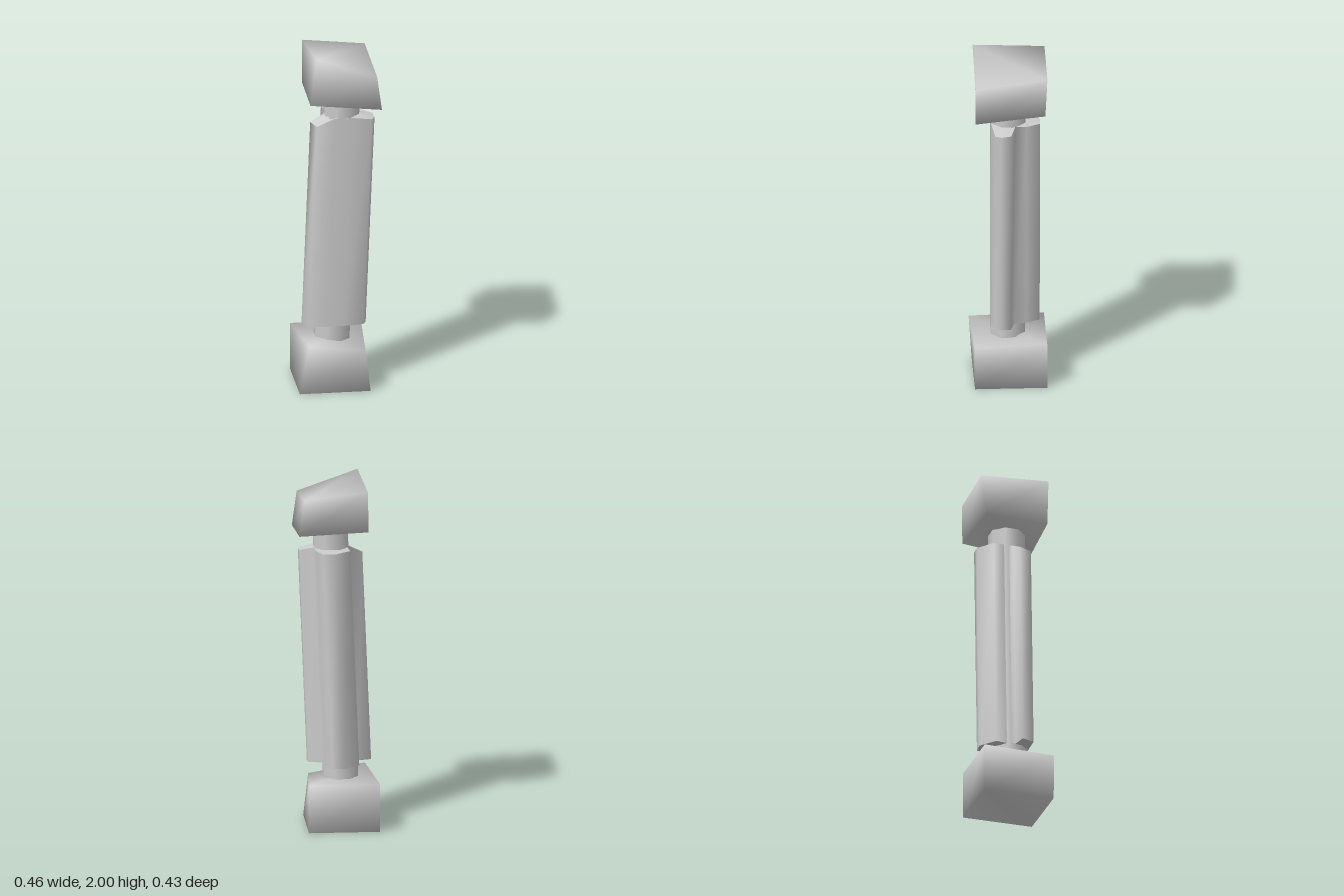
import * as THREE from 'three';
import { mergeVertices } from 'three/addons/utils/BufferGeometryUtils.js';

const stone = new THREE.MeshStandardMaterial({ color: 0xcccccc });

// Horizontal centre of the leaning column at height y
const leanX = (y) => -0.023 + (y - 0.36) * 0.041;

function addPart(group, name, geometry) {
  const mesh = new THREE.Mesh(geometry, stone);
  mesh.name = name;
  group.add(mesh);
}

// Rough stone block: a box whose corners are moved, softly shaded across its edges.
// Corners run front left, front right, back right, back left as [x, y, z].
function block(bottom, top) {
  const box = new THREE.BoxGeometry(1, 1, 1);
  box.deleteAttribute('normal');
  box.deleteAttribute('uv');
  const geometry = mergeVertices(box);
  const p = geometry.attributes.position;
  for (let i = 0; i < p.count; i++) {
    const right = p.getX(i) > 0;
    const k = p.getZ(i) > 0 ? (right ? 1 : 0) : (right ? 2 : 3);
    p.setXYZ(i, ...(p.getY(i) > 0 ? top : bottom)[k]);
  }
  geometry.computeVertexNormals();
  return geometry;
}

// Join closed rings of points from bottom to top
function loft(rings) {
  const n = rings[0].length;
  const index = [];
  for (let r = 0; r < rings.length - 1; r++) {
    for (let i = 0; i < n; i++) {
      const a = r * n + i, b = r * n + (i + 1) % n;
      index.push(a, b, b + n, a, b + n, a + n);
    }
  }
  const geometry = new THREE.BufferGeometry();
  geometry.setAttribute('position', new THREE.Float32BufferAttribute(rings.flat(2), 3));
  geometry.setIndex(index);
  geometry.computeVertexNormals();
  return geometry;
}

export function createModel() {
  const group = new THREE.Group();
  group.name = 'stoneColumn';

  addPart(group, 'base', block(
    [[-0.232, 0, 0.192], [0.168, 0, 0.192], [0.168, 0, -0.213], [-0.232, 0, -0.213]],
    [[-0.18, 0.29, 0.212], [0.14, 0.24, 0.192], [0.168, 0.272, -0.213], [-0.232, 0.275, -0.213]]));

  addPart(group, 'capital', block(
    [[-0.17, 1.72, 0.175], [0.232, 1.682, 0.192], [0.22, 1.718, -0.2], [-0.17, 1.73, -0.18]],
    [[-0.137, 2, 0.192], [0.205, 1.88, 0.192], [0.19, 1.93, -0.213], [-0.163, 1.97, -0.213]]));

  // Eight-sided core with a flat front, sheared to follow the lean
  const core = new THREE.CylinderGeometry(0.104, 0.104, 1.55, 8, 1, true, Math.PI / 8).translate(0, 1, 0);
  const p = core.attributes.position;
  for (let i = 0; i < p.count; i++) p.setX(i, p.getX(i) + leanX(p.getY(i)));
  addPart(group, 'core', core);

  // Three wings around the core, which lies bare between them: [x, z, height of the upper rim]
  const outline = [
    // front and left wing
    [-0.15, 0.093, 1.56], [-0.05, 0.097, 1.605], [0.05, 0.097, 1.605],
    // right wing
    [0.165, 0.08, 1.585], [0.183, 0.045, 1.585], [0.178, -0.01, 1.59], [0.1, -0.035, 1.61],
    // back wing
    [0.09, -0.1, 1.605], [0.055, -0.175, 1.605], [-0.01, -0.18, 1.605], [-0.1, -0.11, 1.605],
    // bare core, then the back of the left wing
    [-0.09, -0.05, 1.61], [-0.1, 0.005, 1.605], [-0.177, 0.022, 1.565],
  ];
  const ring = (scale, height) => outline.map(([x, z, rim]) => {
    const y = height ?? rim;
    return [leanX(y) + x * scale, y, z * scale];
  });
  addPart(group, 'shaft', loft([ring(1, 0.36), ring(1)]));
  // Sloping shoulder and flat underside close the shaft against the core
  addPart(group, 'shaftShoulder', loft([ring(1), ring(0.5, 1.61)]));
  addPart(group, 'shaftUnderside', loft([ring(0.4, 0.355), ring(1, 0.36)]));

  return group;
}
